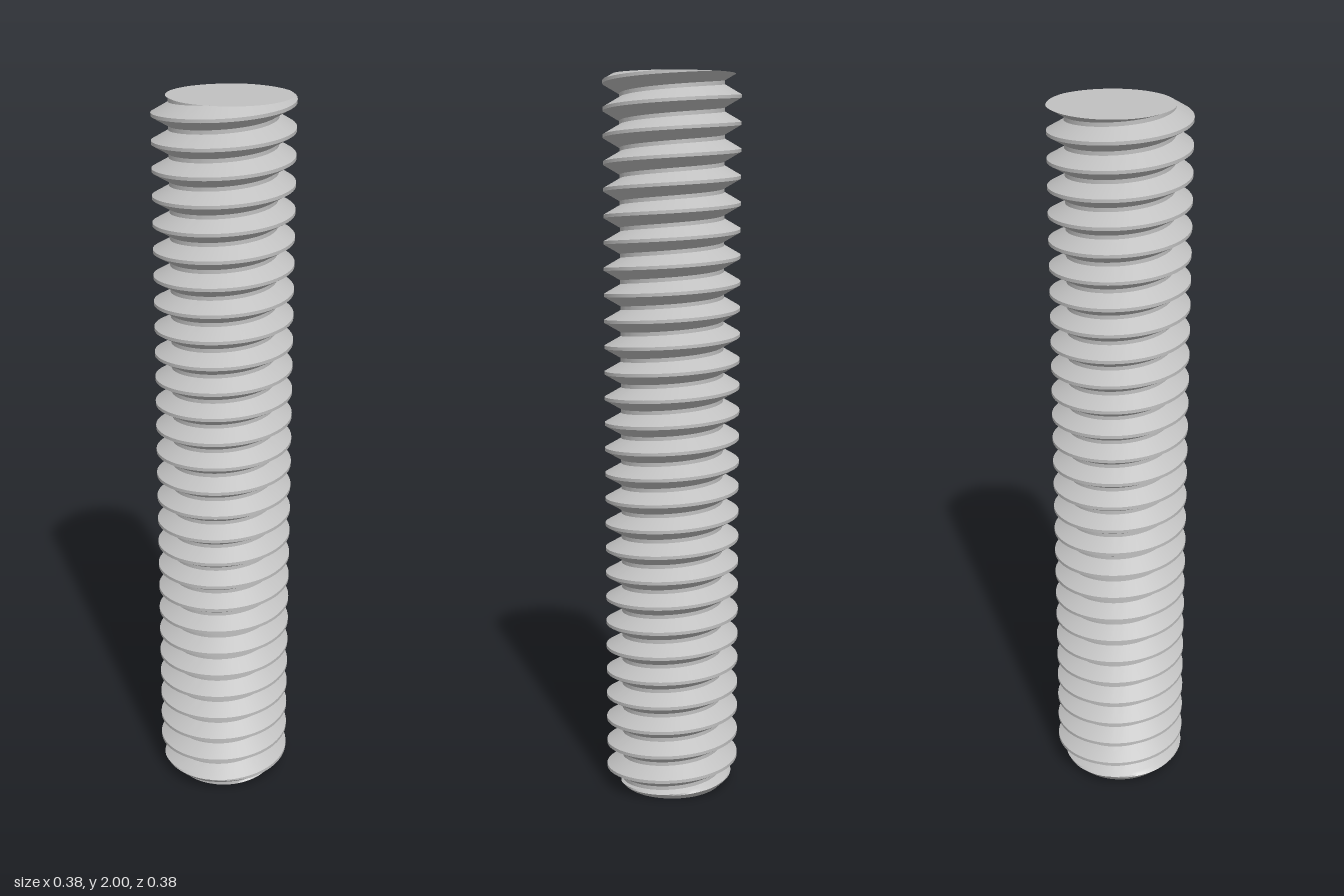
import * as THREE from 'three';
import { toCreasedNormals } from 'three/addons/utils/BufferGeometryUtils.js';

const LENGTH = 2, TURNS = 28, PITCH = LENGTH / TURNS;
const CREST_R = 0.1875, ROOT_R = 0.1425;
const CREST_HALF = PITCH / 16;                               // half width of the flat crest
const FLANK = (CREST_R - ROOT_R) / Math.sqrt(3);             // 60 degree thread
const PHASE = 0.003 - PITCH / 2;                             // crest height at the front
const SEGMENTS = 96;

// Thread radius at an angle and height, with a chamfer at the lower end
function radiusAt(theta, y) {
  const u = (y - PHASE) / PITCH - theta / (2 * Math.PI);
  const d = Math.abs(u - Math.round(u)) * PITCH;
  const t = Math.min(Math.max((d - CREST_HALF) / FLANK, 0), 1);
  return Math.min(CREST_R + (ROOT_R - CREST_R) * t, 0.142 + y);
}

function pointAt(theta, y) {
  const r = radiusAt(theta, y);
  return new THREE.Vector3(Math.sin(theta) * r, y, Math.cos(theta) * r);
}

function finish(positions) {
  const g = new THREE.BufferGeometry();
  g.setAttribute('position', new THREE.Float32BufferAttribute(positions, 3));
  return toCreasedNormals(g, 0.5);
}

function addTriangle(out, a, b, c) {
  const area = b.clone().sub(a).cross(c.clone().sub(a)).length();
  if (area > 1e-9) out.push(...a, ...b, ...c);
}

// Helical rows follow the profile corners and are cut off at both ends
function threadGeometry() {
  const corners = [-CREST_HALF, CREST_HALF, CREST_HALF + FLANK, PITCH - CREST_HALF - FLANK, PITCH - CREST_HALF];
  const rows = [];
  for (let turn = -2; turn <= TURNS + 1; turn++) {
    const steps = turn < 2 ? 6 : 1;                          // finer where the chamfer cuts
    for (let k = 0; k < 4; k++)
      for (let s = 0; s < steps; s++)
        rows.push(PHASE + turn * PITCH + THREE.MathUtils.lerp(corners[k], corners[k + 1], s / steps));
  }
  const column = (i) => {
    const theta = (i / SEGMENTS) * 2 * Math.PI;
    return rows.map((y) => pointAt(theta, THREE.MathUtils.clamp(y + (i / SEGMENTS) * PITCH, 0, LENGTH)));
  };
  const out = [];
  let left = column(0);
  for (let i = 1; i <= SEGMENTS; i++) {
    const right = column(i);
    for (let j = 0; j + 1 < rows.length; j++) {
      addTriangle(out, left[j], right[j], right[j + 1]);
      addTriangle(out, left[j], right[j + 1], left[j + 1]);
    }
    left = right;
  }
  return finish(out);
}

// Flat end face following the thread outline
function endGeometry(y, up) {
  const out = [], centre = new THREE.Vector3(0, y, 0);
  for (let i = 0; i < SEGMENTS; i++) {
    const a = pointAt((i / SEGMENTS) * 2 * Math.PI, y);
    const b = pointAt(((i + 1) / SEGMENTS) * 2 * Math.PI, y);
    if (up) addTriangle(out, centre, a, b);
    else addTriangle(out, centre, b, a);
  }
  return finish(out);
}

export function createModel() {
  const group = new THREE.Group();
  group.name = 'threadedRod';
  const steel = new THREE.MeshStandardMaterial({ color: 0xc0c0c0 });
  steel.name = 'steel grey';
  const add = (name, geometry) => {
    const mesh = new THREE.Mesh(geometry, steel);
    mesh.name = name;
    group.add(mesh);
  };
  add('thread', threadGeometry());
  add('topFace', endGeometry(LENGTH, true));
  add('bottomFace', endGeometry(0, false));
  return group;
}
